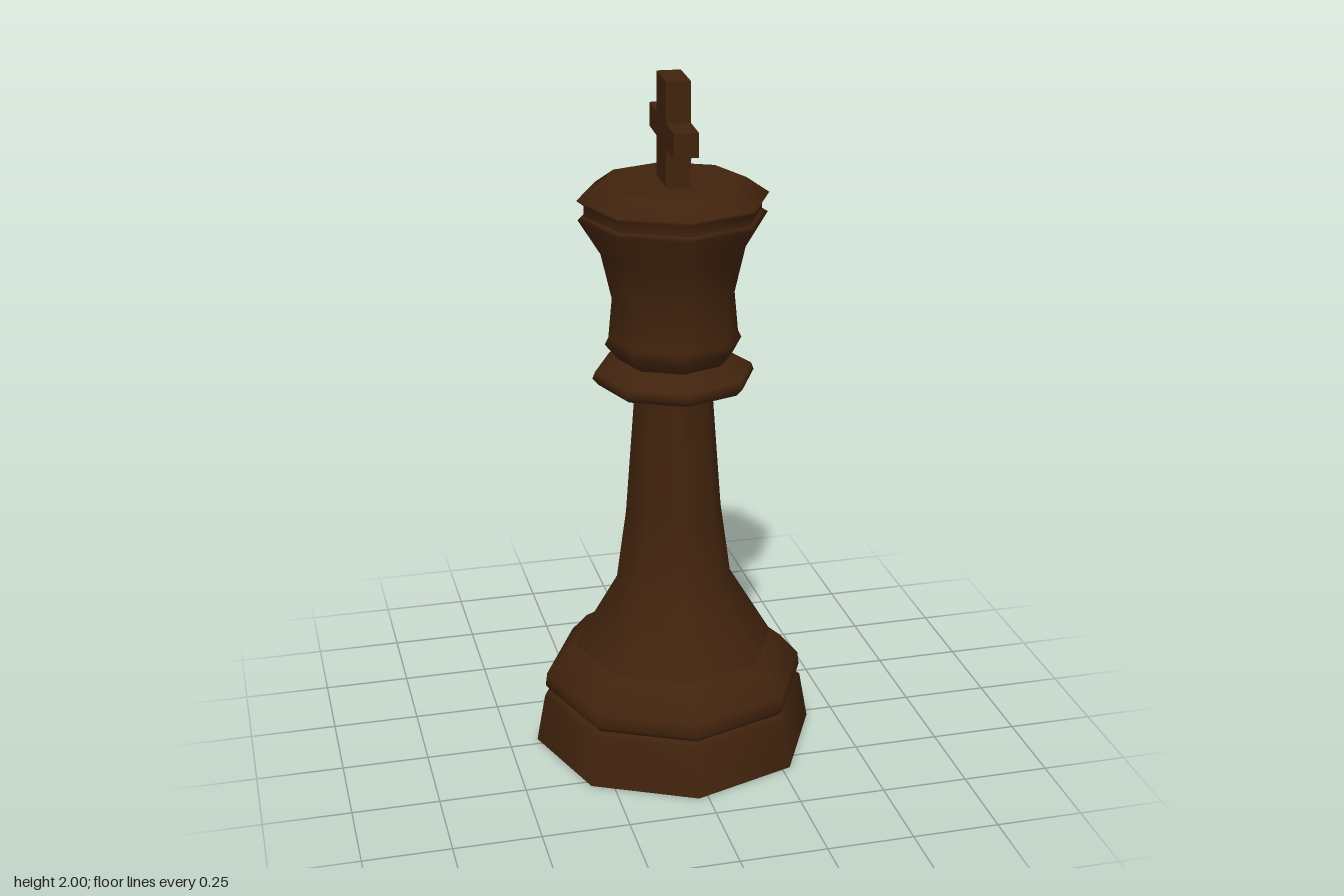
import * as THREE from 'three';

export function createModel() {
  const wood = new THREE.MeshStandardMaterial({ color: 0x41230d });
  wood.name = 'dark brown wood';

  const king = new THREE.Group();
  king.name = 'chessKing';

  // Eight-sided turned section from [radius, height] pairs, bottom to top
  function turned(name, profile) {
    const points = profile.map(([r, y]) => new THREE.Vector2(r, y));
    const mesh = new THREE.Mesh(new THREE.LatheGeometry(points, 8), wood);
    mesh.name = name;
    king.add(mesh);
  }

  turned('underside', [[0, 0], [0.416, 0]]);
  turned('plinth', [[0.416, 0], [0.39, 0.145], [0.37, 0.16]]);
  turned('foot', [[0.37, 0.16], [0.387, 0.18], [0.382, 0.22], [0.325, 0.285], [0.295, 0.305]]);
  turned('stem', [[0.295, 0.305], [0.17, 0.515], [0.14, 0.73], [0.112, 1.105]]);
  turned('collar', [[0.112, 1.105], [0.215, 1.125], [0.233, 1.145], [0.225, 1.165], [0.16, 1.2]]);
  turned('head', [[0.16, 1.2], [0.196, 1.245], [0.186, 1.265], [0.175, 1.38], [0.205, 1.51], [0.267, 1.61], [0.25, 1.62]]);
  turned('crownRim', [[0.25, 1.62], [0.25, 1.65], [0.27, 1.665], [0.205, 1.71]]);
  turned('crownTop', [[0.205, 1.71], [0, 1.71]]);

  // Cross finial as one outline, arms along z
  const outline = [
    [0.075, 1.69], [0.075, 1.82], [0.192, 1.82], [0.192, 1.887], [0.075, 1.887], [0.075, 2],
  ];
  const mirrored = outline.map(([u, v]) => [-u, v]).reverse();
  const shape = new THREE.Shape([...outline, ...mirrored].map(([u, v]) => new THREE.Vector2(u, v)));
  const geometry = new THREE.ExtrudeGeometry(shape, { depth: 0.068, bevelEnabled: false });
  geometry.translate(0, 0, -0.034).rotateY(Math.PI / 2);
  const cross = new THREE.Mesh(geometry, wood);
  cross.name = 'crossFinial';
  king.add(cross);

  // The piece stands slightly turned
  king.rotation.y = -0.066;
  const model = new THREE.Group();
  model.name = 'chessPiece';
  model.add(king);
  return model;
}
